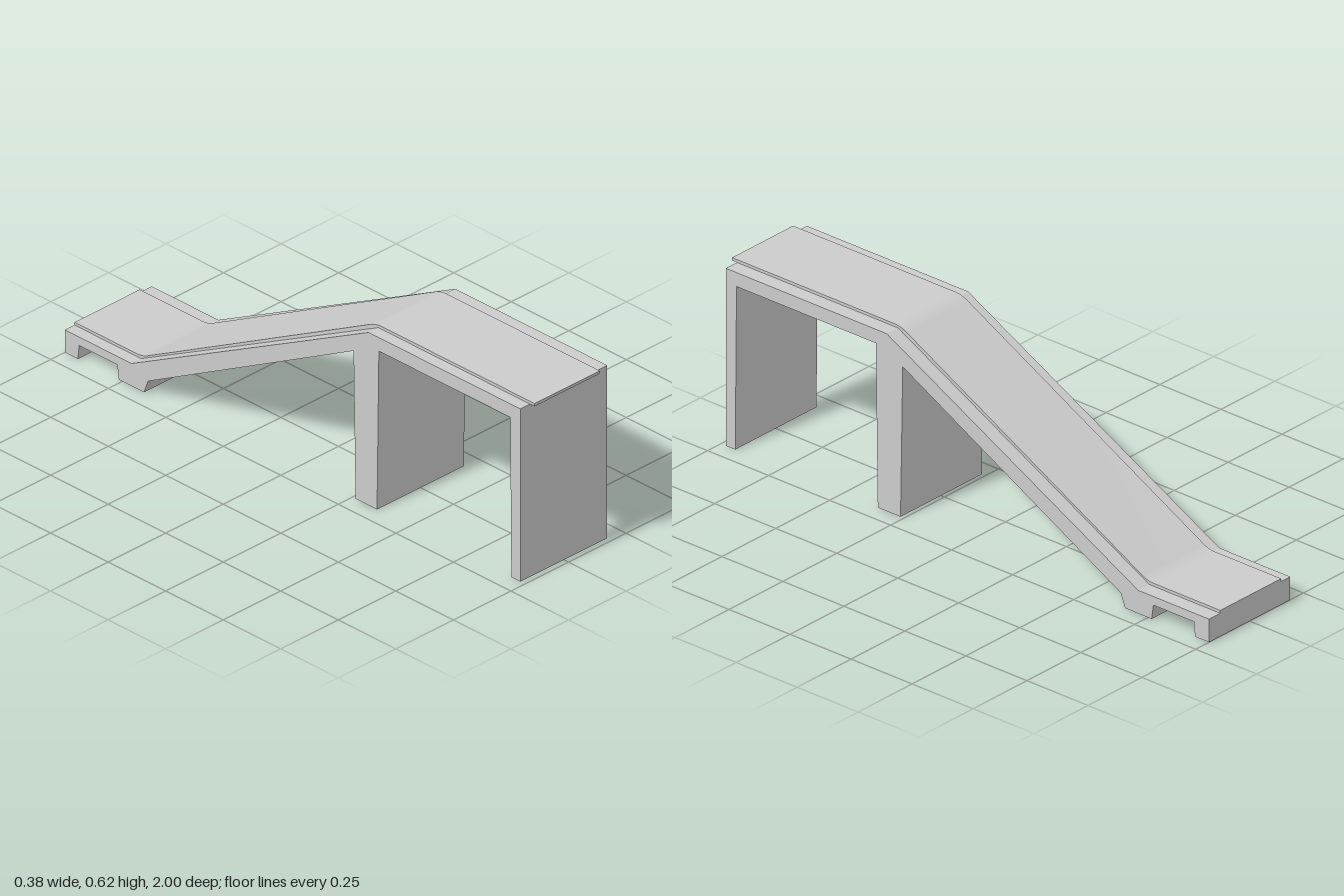
import * as THREE from 'three';
import { toCreasedNormals } from 'three/addons/utils/BufferGeometryUtils.js';

const material = new THREE.MeshStandardMaterial({ color: 0xcccccc });

// Extrudes a side profile drawn in (z, y) across the width from x0 to x1
function extrudeAcross(name, shape, x0, x1) {
  const geometry = new THREE.ExtrudeGeometry(shape, {
    depth: x1 - x0, bevelEnabled: false, curveSegments: 6,
  });
  geometry.rotateY(-Math.PI / 2);
  geometry.translate(x1, 0, 0);
  const mesh = new THREE.Mesh(toCreasedNormals(geometry, 0.4), material);
  mesh.name = name;
  return mesh;
}

export function createModel() {
  const group = new THREE.Group();
  group.name = 'ramp';

  // Supporting frame: platform, slope, landing and legs in one outline
  const frame = new THREE.Shape([
    [0.98, 0], [0.98, 0.614], [0.32, 0.614], [-0.71, 0.08], [-1, 0.08], [-1, 0],
    [-0.943, 0], [-0.938, 0.05], [-0.772, 0.05], [-0.765, 0], [-0.656, 0], [-0.638, 0.047],
    [0.255, 0.522], [0.264, 0], [0.357, 0], [0.365, 0.566], [0.936, 0.566], [0.941, 0],
  ].map(([z, y]) => new THREE.Vector2(z, y)));
  group.add(extrudeAcross('frame', frame, -0.189, 0.188));

  // Thin walking surface with softly rounded bends
  const deck = new THREE.Shape();
  deck.moveTo(1, 0.614);
  deck.lineTo(1, 0.624);
  deck.lineTo(0.335, 0.624);
  deck.quadraticCurveTo(0.31, 0.624, 0.285, 0.611);
  deck.lineTo(-0.685, 0.1);
  deck.quadraticCurveTo(-0.705, 0.09, -0.73, 0.09);
  deck.lineTo(-1, 0.09);
  deck.lineTo(-1, 0.079);
  deck.lineTo(-0.71, 0.079);
  deck.lineTo(0.32, 0.613);
  deck.closePath();
  group.add(extrudeAcross('deck', deck, -0.147, 0.136));

  return group;
}
